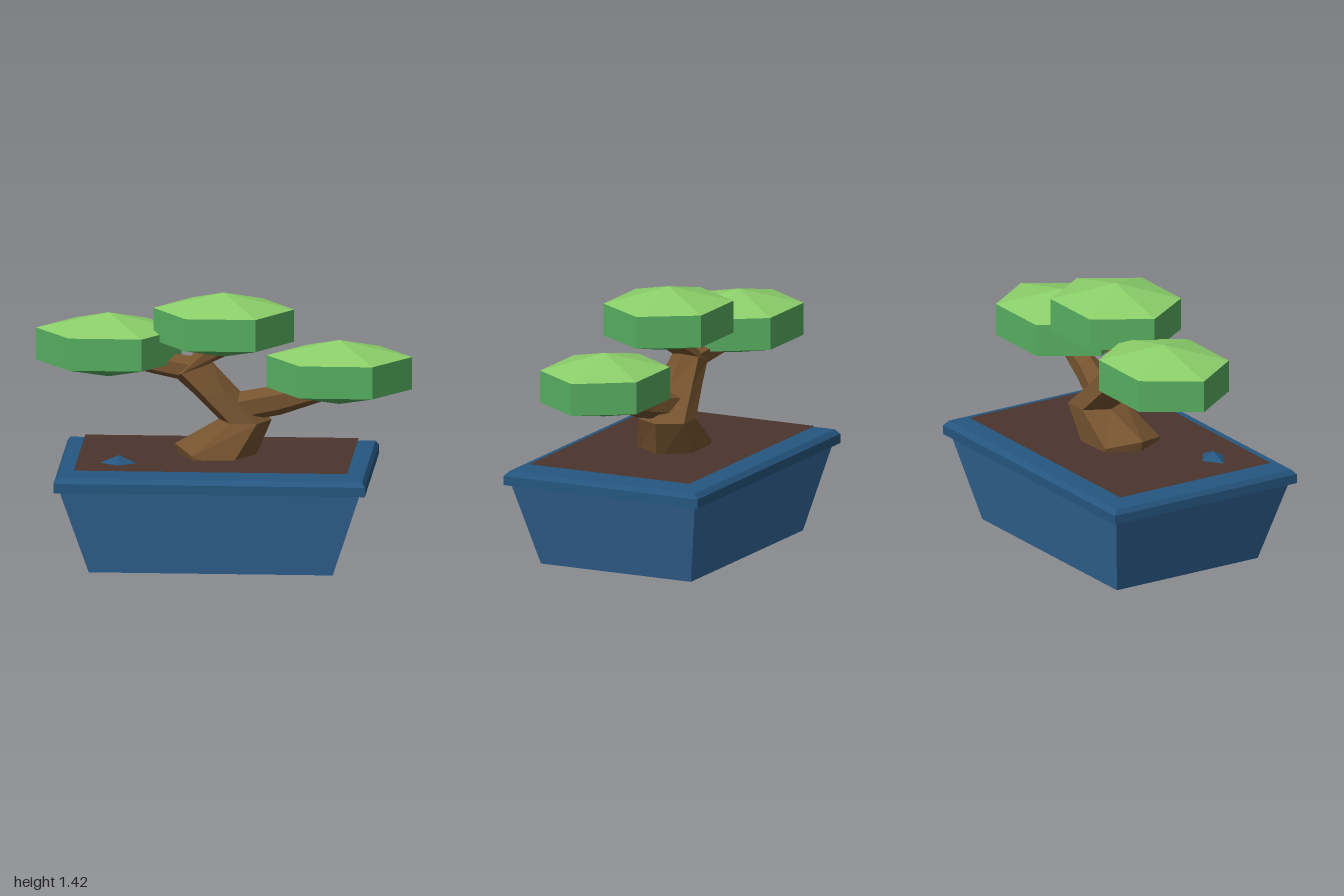
import * as THREE from 'three';

const V = (x, y, z) => new THREE.Vector3(x, y, z);

// Skin between equal-length rings, optionally closed by fans to a start / end point
function loft(rings, start, end) {
  const pts = [];
  const n = rings[0].length;
  for (let j = 0; j < n; j++) {
    const k = (j + 1) % n;
    for (let i = 0; i < rings.length - 1; i++) {
      const a = rings[i], b = rings[i + 1];
      pts.push(a[j], b[j], a[k], a[k], b[j], b[k]);
    }
    if (start) pts.push(start, rings[0][j], rings[0][k]);
    const last = rings[rings.length - 1];
    if (end) pts.push(end, last[k], last[j]);
  }
  const g = new THREE.BufferGeometry().setFromPoints(pts);
  g.computeVertexNormals();
  return g;
}

// Horizontal rectangle ring
const rect = (cx, y, hx, hz) =>
  [[1, 1], [-1, 1], [-1, -1], [1, -1]].map(([sx, sz]) => V(cx + sx * hx, y, sz * hz));

// Six-sided ring, tilted about z
function hexRing([cx, cy, cz, ru, rv, tilt = 0]) {
  return Array.from({ length: 6 }, (_, j) => {
    const a = j * Math.PI / 3;
    const u = Math.cos(a) * ru;
    return V(cx + u * Math.cos(tilt), cy + u * Math.sin(tilt), cz + Math.sin(a) * rv);
  });
}

// Faceted limb through a list of ring specs
function limb(specs) {
  const first = specs[0], last = specs[specs.length - 1];
  return loft(specs.map(hexRing), V(first[0], first[1], first[2]), V(last[0], last[1], last[2]));
}

export function createModel() {
  const model = new THREE.Group();
  const mat = (name, color, side = THREE.FrontSide) => {
    const m = new THREE.MeshStandardMaterial({ color, side, flatShading: true });
    m.name = name;
    return m;
  };
  const potBlue = mat('pot blue', 0x34689a, THREE.DoubleSide);
  const rimBlue = mat('rim blue', 0x25567f);
  const soilBrown = mat('soil brown', 0x4a342d);
  const barkBrown = mat('bark brown', 0x75532f);
  const leafTop = mat('light leaf green', 0x8ccf6a);
  const leafSide = mat('leaf green', 0x58b061);

  const add = (name, geometry, material, parent = model) => {
    const mesh = new THREE.Mesh(geometry, material);
    mesh.name = name;
    parent.add(mesh);
    return mesh;
  };

  // Tapered pot walls, open underneath
  const px = -0.04;
  add('potWalls', loft([rect(px, 0, 0.645, 0.445), rect(px, 0.45, 0.793, 0.545)]), potBlue);

  // Rim slab with a chamfered top edge
  add('potRim', loft(
    [rect(px, 0.45, 0.823, 0.575), rect(px, 0.5, 0.823, 0.575), rect(px, 0.525, 0.807, 0.55)],
    V(px, 0.45, 0), V(px, 0.525, 0)), rimBlue);

  // Thin soil sheet
  const soil = add('soil', new THREE.PlaneGeometry(1.445, 0.95), soilBrown);
  soil.rotation.x = -Math.PI / 2;
  soil.position.set(px, 0.553, 0);

  // Small faceted stone, half buried
  const stone = add('stone', new THREE.OctahedronGeometry(1).scale(0.137, 0.06, 0.1), rimBlue);
  stone.position.set(-0.54, 0.535, 0.26);

  // Crooked trunk and branches
  const tree = new THREE.Group();
  tree.name = 'tree';
  model.add(tree);
  add('trunk', limb([
    [-0.05, 0.46, 0, 0.16, 0.19],
    [-0.06, 0.54, 0, 0.21, 0.2, -0.34],
    [0.11, 0.735, -0.05, 0.14, 0.155],
    [-0.05, 0.89, -0.04, 0.12, 0.12, 0.1],
    [-0.17, 1.01, -0.04, 0.11, 0.09, 0.35],
    [0.0, 1.15, 0, 0.08, 0.07, -0.5],
  ]), barkBrown, tree);
  add('rightBranch', limb([
    [-0.15, 1.0, -0.04, 0.07, 0.08, 1.45],
    [-0.38, 1.03, -0.08, 0.06, 0.065, 1.45],
    [-0.6, 1.07, -0.1, 0.05, 0.05, 1.45],
  ]), barkBrown, tree);
  add('leftBranch', limb([
    [0.06, 0.8, -0.04, 0.08, 0.1, -1.35],
    [0.28, 0.85, 0.01, 0.08, 0.07, -1.3],
    [0.58, 0.93, 0.06, 0.05, 0.05, -1.3],
  ]), barkBrown, tree);

  // Leaf pads: hexagonal drum with shallow cones above and below
  const pads = [
    ['middleLeafPad', 0, 1.08, 0, 0.372, 0.335],
    ['rightLeafPad', -0.615, 0.945, -0.102, 0.385, 0.328],
    ['leftLeafPad', 0.615, 0.845, 0.06, 0.385, 0.33],
  ];
  for (const [name, x, y, z, rx, rz] of pads) {
    const pad = new THREE.Group();
    pad.name = name;
    tree.add(pad);
    const low = hexRing([x, y + 0.085, z, rx, rz]);
    const high = hexRing([x, y + 0.258, z, rx, rz]);
    add('padBody', loft([low, high], V(x, y, z)), leafSide, pad);
    add('padTop', loft([high], null, V(x, y + 0.345, z)), leafTop, pad);
  }
  return model;
}
